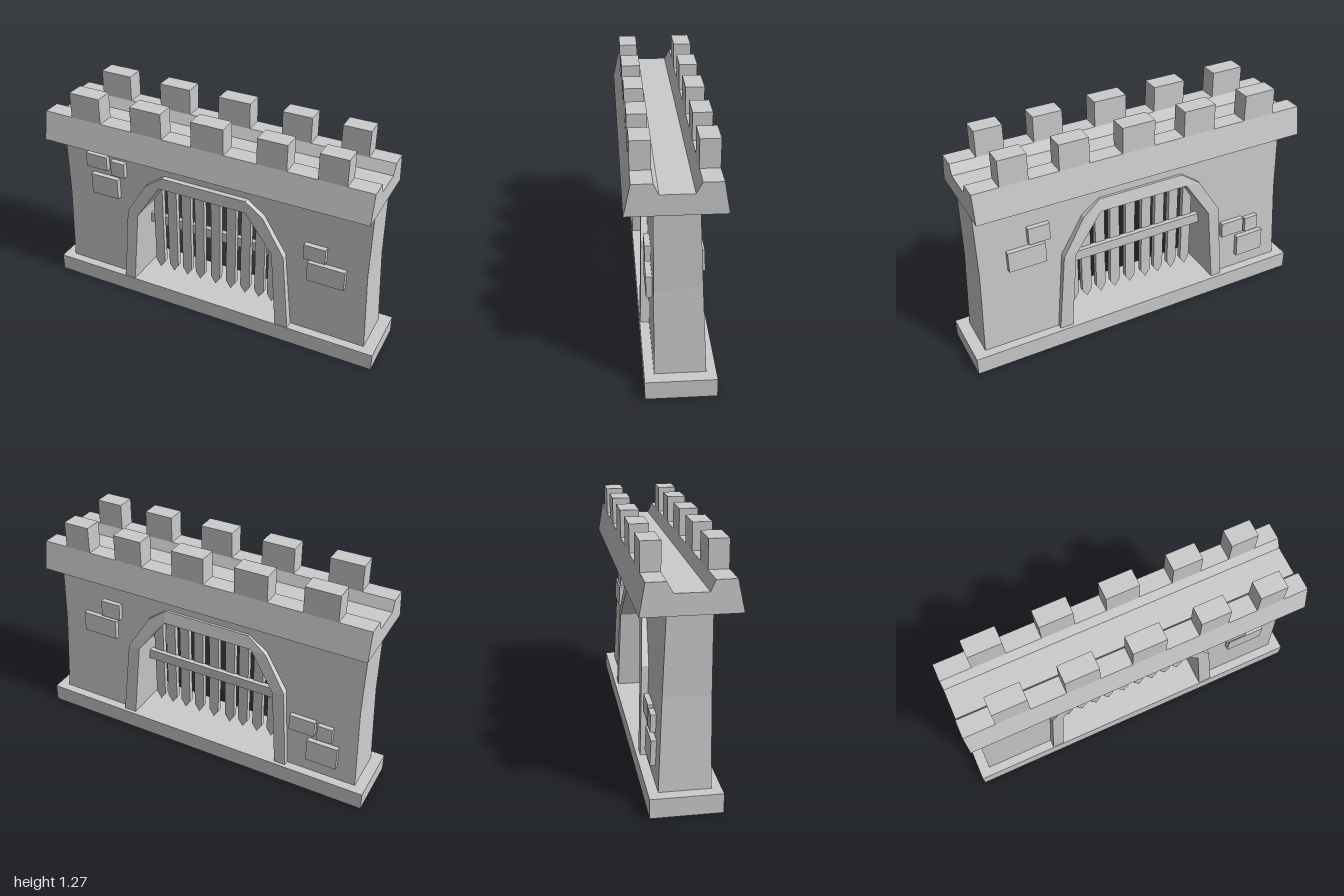
import * as THREE from 'three';

export function createModel() {
  const model = new THREE.Group();
  const material = new THREE.MeshStandardMaterial({ color: 0xcccccc, flatShading: true });

  function add(name, geometry, parent = model) {
    const mesh = new THREE.Mesh(geometry, material);
    mesh.name = name;
    parent.add(mesh);
    return mesh;
  }
  function group(name) {
    const g = new THREE.Group();
    g.name = name;
    model.add(g);
    return g;
  }
  // Box given by its limits on each axis
  function box(x0, x1, y0, y1, z0, z1) {
    return new THREE.BoxGeometry(x1 - x0, y1 - y0, z1 - z0)
      .translate((x0 + x1) / 2, (y0 + y1) / 2, (z0 + z1) / 2);
  }
  // Outline in x and y, with depth limits that vary with height
  function slab(points, back, front) {
    const shape = new THREE.Shape(points.map(([x, y]) => new THREE.Vector2(x, y)));
    const geometry = new THREE.ExtrudeGeometry(shape, { depth: 1, bevelEnabled: false });
    const p = geometry.attributes.position;
    for (let i = 0; i < p.count; i++) {
      const y = p.getY(i);
      p.setZ(i, p.getZ(i) > 0.5 ? front(y) : back(y));
    }
    geometry.computeVertexNormals();
    return geometry;
  }
  // Piecewise linear depth from [y, z] pairs
  const ramp = (pairs) => (y) => {
    let i = 1;
    while (i < pairs.length - 1 && y > pairs[i][0]) i++;
    const [y0, z0] = pairs[i - 1], [y1, z1] = pairs[i];
    return z0 + (z1 - z0) * (y - y0) / (y1 - y0);
  };

  const wallBack = ramp([[0.1, -0.15], [0.97, -0.11]]);
  const wallFront = () => 0.105;

  // Plinth
  add('base', box(-1, 1, 0, 0.1, -0.2, 0.155));

  // Wall with the arch cut out, and the arch surround that lines the passage
  const archOuter = [[-0.543, 0.1], [-0.505, 0.57], [-0.382, 0.767], [-0.275, 0.842],
    [0.227, 0.842], [0.329, 0.767], [0.457, 0.56], [0.505, 0.1]];
  const archInner = [[-0.478, 0.1], [-0.44, 0.555], [-0.297, 0.772],
    [0.227, 0.772], [0.388, 0.56], [0.43, 0.1]];
  add('wall', slab([[-0.94, 0.1], ...archOuter, [0.935, 0.1], [0.912, 0.57], [0.912, 0.99],
    [-0.917, 0.99], [-0.917, 0.57]], wallBack, wallFront));
  add('archSurround', slab([...archOuter, ...archInner.slice().reverse()],
    ramp([[0.1, -0.18], [0.57, -0.165], [0.77, -0.145], [0.84, -0.13]]),
    ramp([[0.1, 0.152], [0.84, 0.135]])));

  // Parapet walk: a channel profile run along x
  const profile = [[0.24, 0.97], [0.205, 1.13], [0.105, 1.13], [0.08, 1.075],
    [-0.083, 1.075], [-0.113, 1.13], [-0.21, 1.13], [-0.238, 0.97]];
  const capShape = new THREE.Shape(profile.map(([z, y]) => new THREE.Vector2(-z, y)));
  add('parapet', new THREE.ExtrudeGeometry(capShape, { depth: 1.883, bevelEnabled: false })
    .rotateY(Math.PI / 2).translate(-0.953, 0, 0));

  // Merlons in two rows
  const merlons = group('merlons');
  for (const [x0, x1] of [[-0.783, -0.6], [-0.41, -0.227], [-0.053, 0.131], [0.315, 0.478], [0.64, 0.79]]) {
    add('frontMerlon', box(x0, x1, 1.13, 1.275, 0.105, 0.205), merlons);
    add('backMerlon', box(x0, x1, 1.13, 1.275, -0.21, -0.111), merlons);
  }

  // Portcullis: pointed bars and a crossbar behind them
  const gate = group('portcullis');
  for (const x of [-0.382, -0.291, -0.2, -0.115, -0.013, 0.085, 0.176, 0.265, 0.345]) {
    const w = 0.029;
    add('gateBar', slab([[x, 0.125], [x + w, 0.17], [x + w, 0.8], [x - w, 0.8], [x - w, 0.17]],
      () => -0.022, () => 0.008), gate);
  }
  add('crossbar', box(-0.455, 0.405, 0.42, 0.48, -0.046, -0.016), gate);

  // Raised stones on both faces: x0, x1, y0, y1
  const stones = group('stones');
  for (const s of [[-0.765, -0.63, 0.795, 0.88], [-0.605, -0.518, 0.775, 0.865],
    [-0.74, -0.568, 0.625, 0.75], [0.565, 0.687, 0.588, 0.676], [0.59, 0.8, 0.455, 0.57]]) {
    add('frontStone', box(...s, 0.09, 0.135), stones);
  }
  for (const [x0, x1, y0, y1] of [[-0.69, -0.545, 0.35, 0.44], [-0.79, -0.705, 0.34, 0.43],
    [-0.83, -0.655, 0.185, 0.315], [0.52, 0.64, 0.7, 0.795], [0.55, 0.76, 0.57, 0.685]]) {
    add('backStone', slab([[x0, y0], [x1, y0], [x1, y1], [x0, y1]],
      (y) => wallBack(y) - 0.027, () => -0.08), stones);
  }

  return model;
}
